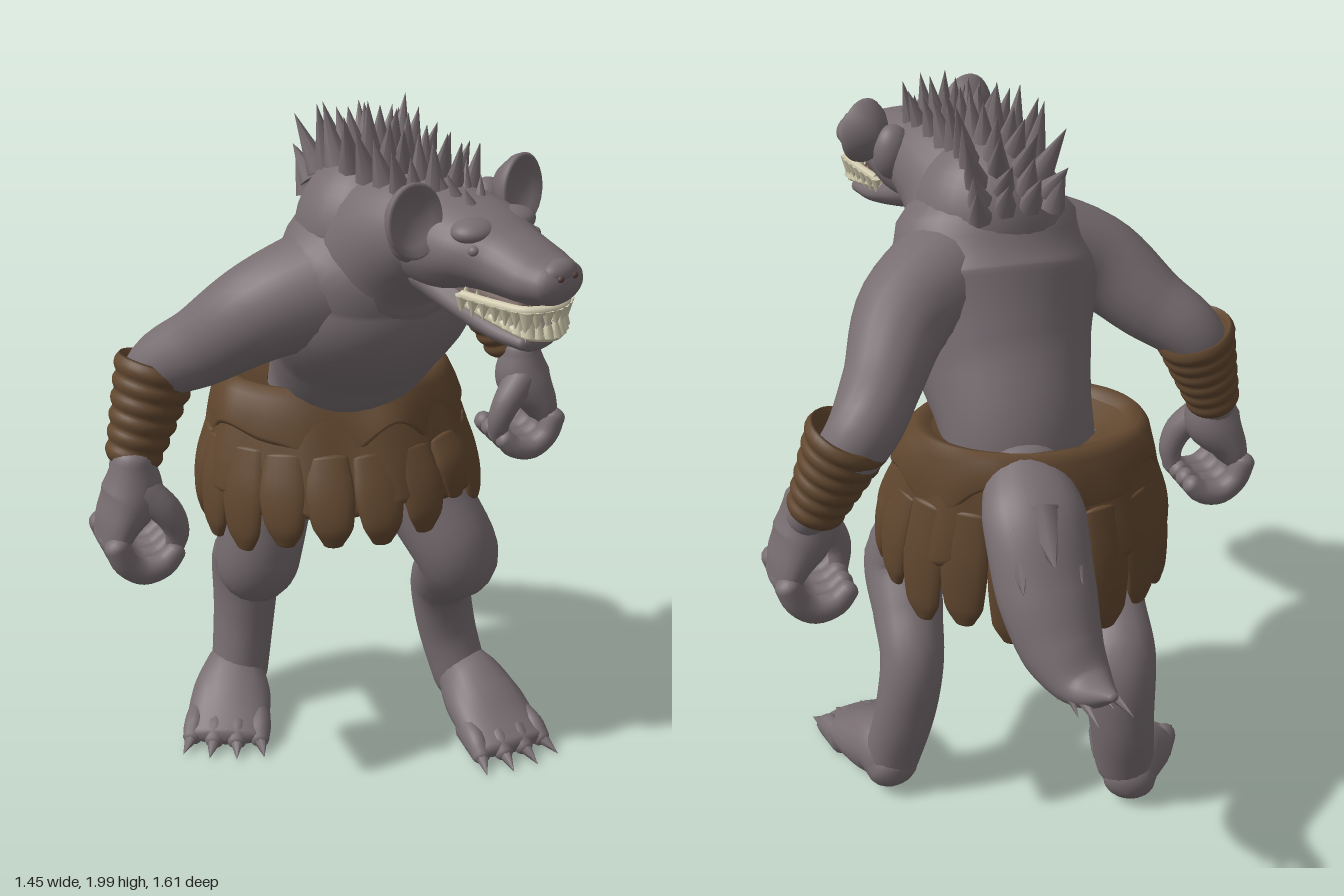
import * as THREE from 'three';
import { mergeVertices } from 'three/addons/utils/BufferGeometryUtils.js';

const V = (x, y, z) => new THREE.Vector3(x, y, z);
const material = (name, color) => Object.assign(new THREE.MeshStandardMaterial({ color }), { name });

export function createModel() {
  const hide = material('grey hide', 0x776d71);
  const leather = material('brown leather', 0x61472f);
  const ivory = material('ivory', 0xd0caae);
  const dark = material('dark flesh', 0x5a423c);
  const model = new THREE.Group();
  model.name = 'beastman';
  let seed = 7;
  const rnd = () => (seed = (seed * 16807) % 2147483647) / 2147483647;

  const add = (parent, name, geo, mat) => {
    const m = new THREE.Mesh(geo, mat);
    m.name = name;
    parent.add(m);
    return m;
  };
  const group = (parent, name) => {
    const g = new THREE.Group();
    g.name = name;
    parent.add(g);
    return g;
  };
  const smooth = (g) => {
    g.deleteAttribute('uv');
    g.deleteAttribute('normal');
    g = mergeVertices(g, 1e-4);
    g.computeVertexNormals();
    return g;
  };

  // Organic limb: rows of [x, y, z, radius along side, other radius], with rounded ends
  function limb(rows, side = V(1, 0, 0), radial = 20, steps = 6) {
    const path = new THREE.CatmullRomCurve3(rows.map((r) => V(r[0], r[1], r[2])));
    const size = new THREE.CatmullRomCurve3(rows.map((r) => V(r[3], r[4] ?? r[3], 0)));
    const n = (rows.length - 1) * steps, rings = [];
    const ring = (t, k, push) => {
      const T = path.getTangent(t), s = size.getPoint(t);
      const S = side.clone().addScaledVector(T, -side.dot(T)).normalize();
      const N = T.clone().cross(S);
      const c = path.getPoint(t).addScaledVector(T, push * Math.min(s.x, s.y) * 0.75);
      rings.push([c, S.multiplyScalar(s.x * k), N.multiplyScalar(s.y * k)]);
    };
    for (let i = 0; i < 5; i++) ring(0, Math.sin(i * 0.314) + 0.003, -Math.cos(i * 0.314));
    for (let i = 0; i <= n; i++) ring(i / n, 1, 0);
    for (let i = 4; i >= 0; i--) ring(1, Math.sin(i * 0.314) + 0.003, Math.cos(i * 0.314));
    const pos = [], idx = [];
    rings.forEach(([c, S, N], i) => {
      for (let j = 0; j < radial; j++) {
        const a = (j / radial) * Math.PI * 2;
        const p = c.clone().addScaledVector(S, Math.cos(a)).addScaledVector(N, Math.sin(a));
        pos.push(p.x, p.y, p.z);
        if (i === rings.length - 1) continue;
        const k = (j + 1) % radial, b = i * radial, d = b + radial;
        idx.push(b + j, b + k, d + k, b + j, d + k, d + j);
      }
    });
    const g = new THREE.BufferGeometry();
    g.setAttribute('position', new THREE.Float32BufferAttribute(pos, 3));
    g.setIndex(idx);
    g.computeVertexNormals();
    return g;
  }
  const ball = (parent, name, mat, p, s) => {
    const m = add(parent, name, new THREE.SphereGeometry(1, 28, 20), mat);
    m.position.set(...p);
    m.scale.set(...s);
  };
  const spike = (parent, name, mat, p, dir, len, r) => {
    const m = add(parent, name, new THREE.ConeGeometry(r, len, 7).translate(0, len / 2, 0), mat);
    m.position.copy(p);
    m.quaternion.setFromUnitVectors(V(0, 1, 0), dir.clone().normalize());
  };

  // Torso, hump and neck, leaning forward and slightly twisted
  const twist = V(1, 0, -0.25);
  add(model, 'torso', limb([
    [0, 0.95, -0.08, 0.22, 0.18], [0.02, 1.15, -0.1, 0.21, 0.18], [0.02, 1.34, 0.025, 0.25, 0.21],
    [0.01, 1.5, 0.13, 0.295, 0.245], [0.005, 1.6, 0.17, 0.26, 0.215]], twist, 32), hide);
  ball(model, 'hump', hide, [0.005, 1.66, 0.155], [0.2, 0.21, 0.19]);
  add(model, 'neck', limb([[0.01, 1.57, 0.17, 0.22, 0.22], [0.025, 1.68, 0.28, 0.18, 0.178],
    [0.06, 1.73, 0.39, 0.152, 0.138], [0.085, 1.73, 0.48, 0.13, 0.11]], twist, 28), hide);

  // Legs: the left one steps forward
  add(model, 'leftLeg', limb([
    [0.16, 1, -0.05, 0.15], [0.21, 0.82, 0.06, 0.127], [0.275, 0.66, 0.135, 0.118], [0.3, 0.55, 0.04, 0.1],
    [0.318, 0.45, -0.05, 0.09], [0.35, 0.28, -0.07, 0.088, 0.077], [0.385, 0.11, -0.035, 0.082]]), hide);
  add(model, 'rightLeg', limb([
    [-0.16, 1, -0.13, 0.15], [-0.22, 0.8, -0.08, 0.13], [-0.245, 0.63, -0.08, 0.116], [-0.22, 0.58, -0.2, 0.1],
    [-0.2, 0.51, -0.31, 0.103], [-0.205, 0.33, -0.33, 0.092, 0.104], [-0.235, 0.12, -0.305, 0.085, 0.09]]), hide);

  // Feet with four clawed toes
  function foot(name, x, z, yaw, length) {
    const f = group(model, name);
    f.position.set(x, 0, z);
    f.rotation.y = yaw;
    f.scale.z = length;
    add(f, 'sole', limb([[0, 0.085, -0.05, 0.075, 0.075], [0, 0.11, 0, 0.092, 0.1],
      [0, 0.09, 0.1, 0.118, 0.085], [0, 0.06, 0.2, 0.122, 0.055], [0, 0.042, 0.27, 0.115, 0.034]]), hide);
    for (const t of [-0.09, -0.03, 0.03, 0.09]) {
      const reach = 0.012 - Math.abs(t) * 0.25;
      add(f, 'toe', limb([[t, 0.055, 0.16, 0.032, 0.05], [t * 1.08, 0.05, 0.24 + reach, 0.033, 0.042],
        [t * 1.12, 0.032, 0.285 + reach, 0.028, 0.027]], V(1, 0, 0), 12, 4), hide);
      spike(f, 'claw', hide, V(t * 1.13, 0.034, 0.285 + reach), V(t * 0.3, -0.03, 0.1), 0.075, 0.022);
    }
  }
  foot('leftFoot', 0.395, -0.01, 0.06, 1);
  foot('rightFoot', -0.25, -0.31, -0.45, 0.87);

  // Arms
  const zSide = V(0, 0, 1);
  add(model, 'leftArm', limb([[0.1, 1.56, 0.11, 0.16], [0.29, 1.5, -0.015, 0.13], [0.405, 1.405, -0.18, 0.1],
    [0.485, 1.33, -0.275, 0.09], [0.57, 1.2, -0.25, 0.07], [0.62, 1.07, -0.2, 0.055]], zSide), hide);
  add(model, 'rightArm', limb([[-0.1, 1.55, 0.18, 0.16], [-0.29, 1.49, 0.15, 0.13], [-0.42, 1.38, 0.06, 0.105],
    [-0.52, 1.3, -0.01, 0.087], [-0.58, 1.18, -0.01, 0.07], [-0.62, 1.04, 0.02, 0.055]], zSide), hide);

  // Bracers: ridged wrappings along the forearm
  function bracer(name, top, bottom) {
    const axis = top.clone().sub(bottom), len = axis.length();
    const pts = [new THREE.Vector2(0.045, 0.01)];
    for (let i = 0; i <= 40; i++) {
      const t = i / 40;
      pts.push(new THREE.Vector2(0.064 + 0.04 * t + 0.009 * Math.abs(Math.sin(t * Math.PI * 6)), t * len));
    }
    pts.push(new THREE.Vector2(0.1, len + 0.006), new THREE.Vector2(0.09, len - 0.01), new THREE.Vector2(0.055, len - 0.05));
    const m = add(model, name, smooth(new THREE.LatheGeometry(pts, 32)), leather);
    m.position.copy(bottom);
    m.quaternion.setFromUnitVectors(V(0, 1, 0), axis.normalize());
  }
  bracer('leftBracer', V(0.515, 1.325, -0.265), V(0.612, 1.09, -0.225));
  bracer('rightBracer', V(-0.52, 1.315, -0.02), V(-0.612, 1.06, 0.01));

  // Hands: broad palm, fingers and thumb curled around an open ring
  function hand(name, s, x, y, z) {
    const h = group(model, name);
    h.position.set(x, y, z);
    add(h, 'palm', limb([[0, 0.05, 0, 0.055, 0.055], [s * 0.01, -0.04, 0, 0.085, 0.08],
      [s * 0.05, -0.11, 0, 0.095, 0.058], [s * 0.075, -0.165, 0, 0.095, 0.038]], zSide), hide);
    for (let i = 0; i < 4; i++) {
      const o = -0.078 + i * 0.052;
      add(h, 'finger', limb([[s * 0.078, -0.15, o, 0.034], [s * 0.055, -0.205, o * 1.02, 0.035],
        [s * 0.01, -0.237, o, 0.036], [-s * 0.045, -0.23, o * 0.95, 0.034], [-s * 0.08, -0.2, o * 0.9, 0.028]],
      zSide, 12, 4), hide);
    }
    add(h, 'thumb', limb([[-s * 0.01, -0.03, 0.03, 0.05], [-s * 0.065, -0.085, 0.055, 0.042],
      [-s * 0.09, -0.145, 0.055, 0.034], [-s * 0.085, -0.2, 0.045, 0.026]], zSide, 12, 4), hide);
  }
  hand('leftHand', 1, 0.615, 1.055, -0.17);
  hand('rightHand', -1, -0.615, 1.03, 0.04);

  // Loincloth: flared layers with folds, turned with the hips, then hanging strips
  const drop = (y) => Math.max(0, Math.min(1.2 - y, 0.34));
  const alongZ = (x, y, z) => z * (0.7 + drop(y) * 0.42) - 0.115 + drop(y) * 0.12 + x * 0.12;
  function clothLayer(name, profile, ragged) {
    const g = new THREE.LatheGeometry(profile.map((p) => new THREE.Vector2(...p)), 96);
    const p = g.attributes.position;
    for (let i = 0; i < p.count; i++) {
      const x = p.getX(i), y = p.getY(i), z = p.getZ(i), a = Math.atan2(x, z);
      const k = Math.max(0, 1.19 - y);
      const fold = 1 + k * (0.08 * Math.sin(9 * a) + 0.05 * Math.sin(14 * a + 1));
      p.setXYZ(i, x * fold, y + ragged * k * (Math.sin(5 * a + 0.6) + 0.5 * Math.sin(8 * a)), alongZ(x, y, z * fold));
    }
    add(model, name, smooth(g), leather);
  }
  clothLayer('loincloth', [[0.3, 1.1], [0.345, 0.93], [0.37, 0.89], [0.38, 0.91], [0.362, 1], [0.33, 1.12],
    [0.31, 1.17], [0.285, 1.19], [0.25, 1.18], [0.18, 1.15]], 0.05);
  clothLayer('waistFlap', [[0.32, 1.08], [0.345, 1.055], [0.35, 1.07], [0.338, 1.12], [0.32, 1.175],
    [0.295, 1.2], [0.26, 1.19], [0.225, 1.155]], 0.3);
  const ends = [0.8, 0.81, 0.87, 0.79, 0.76, 0.74, 0.68, 0.7, 0.66, 0.65, 0.67, 0.7, 0.7, 0.78, 0.75, 0.75, 0.79, 0.8];
  ends.forEach((end, i) => {
    const a = (i / ends.length) * Math.PI * 2, sn = Math.sin(a), cs = Math.cos(a);
    const row = (y, r, w, t) => [r * sn, y, alongZ(r * sn, y, r * cs), w, t];
    const mid = (1 + end) / 2;
    add(model, 'clothStrip', limb([row(1.03, 0.34, 0.055, 0.016), row(mid + 0.04, 0.368, 0.066, 0.02),
      row(end + 0.06, 0.374, 0.054, 0.02), row(end + 0.01, 0.37, 0.028, 0.014)],
    V(cs, 0, 0.12 * cs - 0.8 * sn), 14, 4), leather);
  });

  // Bushy tail with layered tufts along its back and sides
  const tailRows = [[0.06, 1.13, -0.25, 0.1, 0.08], [0.08, 1.05, -0.385, 0.135, 0.095], [0.085, 0.9, -0.485, 0.13, 0.1],
    [0.07, 0.775, -0.57, 0.108, 0.095], [0.045, 0.725, -0.67, 0.072, 0.055], [0.03, 0.775, -0.79, 0.015, 0.012]];
  add(model, 'tail', limb(tailRows, V(1, 0, 0), 24, 8), hide);
  const tailPath = new THREE.CatmullRomCurve3(tailRows.map((r) => V(r[0], r[1], r[2])));
  for (let i = 0; i < 6; i++) {
    const t = 0.2 + i * 0.1, w = 1 - i * 0.1, T = tailPath.getTangent(t);
    const back = V(0, -T.z, T.y).normalize();
    for (const o of [-1, 0, 1]) {
      const p = tailPath.getPoint(t + Math.abs(o) * 0.04).addScaledVector(back, (o ? 0.025 : 0.05) * w);
      p.x += o * 0.06 * w;
      const dir = T.clone().addScaledVector(back, o ? 0.15 : 0.28).add(V(o * 0.12, 0, 0));
      spike(model, 'tailTuft', hide, p, dir, 0.16, 0.058 * w);
    }
  }

  // Mane: rows of ragged spikes over the hump
  const crest = new THREE.CatmullRomCurve3([V(0.06, 1.85, 0.43), V(0.03, 1.87, 0.3), V(0, 1.885, 0.16),
    V(-0.01, 1.85, 0.06), V(-0.01, 1.77, -0.01)]);
  for (let i = 0; i < 10; i++) {
    const t = i / 9, T = crest.getTangent(t), up = V(0, -T.z, T.y).normalize(), w = 0.024 + 0.014 * t;
    for (const o of [-1.5, -0.5, 0.5, 1.5]) {
      const p = crest.getPoint(t).add(V(o * w * 1.7, -Math.abs(o) * 0.015 - 0.025, (rnd() - 0.5) * 0.02));
      const dir = up.clone().add(V(o * 0.25 + (rnd() - 0.5) * 0.3, 0.7, (rnd() - 0.5) * 0.7));
      spike(model, 'maneSpike', hide, p, dir, (0.115 + rnd() * 0.045) * (t > 0.85 ? 0.75 : 1), 0.034);
    }
  }

  // Head, turned to its left
  const head = group(model, 'head');
  head.position.set(0.07, 1.72, 0.43);
  head.rotation.y = 0.32;
  add(head, 'skull', limb([[0, 0, -0.06, 0.13, 0.125], [0, 0.01, 0.04, 0.145, 0.125], [0, 0.018, 0.13, 0.138, 0.1],
    [0, 0.006, 0.22, 0.103, 0.08], [0, -0.005, 0.31, 0.092, 0.064], [0, -0.006, 0.355, 0.077, 0.052]], V(1, 0, 0), 28), hide);
  add(head, 'lowerJaw', limb([[0, -0.07, 0.0, 0.11, 0.06], [0, -0.108, 0.11, 0.1, 0.05],
    [0, -0.145, 0.23, 0.08, 0.038], [0, -0.153, 0.31, 0.066, 0.03]]), hide);
  add(head, 'mouth', limb([[0, -0.08, 0.06, 0.09, 0.04], [0, -0.095, 0.2, 0.058, 0.045],
    [0, -0.1, 0.27, 0.045, 0.04]]), dark);
  ball(head, 'nose', hide, [0, 0.02, 0.362], [0.05, 0.03, 0.03]);
  for (const s of [-1, 1]) {
    ball(head, 'nostril', dark, [s * 0.022, 0.016, 0.388], [0.009, 0.008, 0.007]);
    ball(head, 'browRidge', hide, [s * 0.06, 0.075, 0.155], [0.06, 0.03, 0.05]);
    ball(head, 'eye', hide, [s * 0.098, 0.045, 0.192], [0.014, 0.013, 0.015]);
    // Round cupped ear
    const cup = [[0, -0.05], [0.05, -0.042], [0.078, -0.005], [0.084, 0.015], [0.077, 0.021], [0.06, 0.005], [0.03, -0.006], [0, -0.01]];
    const ear = add(head, 'ear', smooth(new THREE.LatheGeometry(cup.map((p) => new THREE.Vector2(...p)), 28).rotateX(Math.PI / 2)), hide);
    ear.position.set(s * 0.17, 0.1, 0.065);
    ear.rotation.set(-0.1, s * 0.12, 0);
    ear.scale.set(0.9, 1.06, 1);
    ball(head, 'earRoot', hide, [s * 0.125, 0.05, 0.01], [0.055, 0.075, 0.05]);
  }

  // Teeth: an arc of broad cones on each jaw, with long fangs at the front corners
  for (const [y, rise, dir, w] of [[-0.066, -0.012, -1, 0.079], [-0.127, 0.04, 1, 0.067]]) {
    const arc = new THREE.CatmullRomCurve3([[-1.12, 0.15], [-1.03, 0.25], [-0.8, 0.33], [0, 0.36], [0.8, 0.33],
      [1.03, 0.25], [1.12, 0.15]].map(([x, z]) => V(x * w, y + rise * (0.33 - z) * 4, z)));
    add(head, 'gumLine', new THREE.TubeGeometry(arc, 40, 0.012, 8), ivory);
    for (let i = 0; i <= 18; i++) {
      const fang = i === 6 || i === 12;
      spike(head, fang ? 'fang' : 'tooth', ivory, arc.getPoint(i / 18), V(0, dir, 0), fang ? 0.075 : 0.05, fang ? 0.02 : 0.017);
    }
  }

  // Forelock spikes on the crown
  for (let i = 0; i < 5; i++) {
    spike(head, 'forelock', hide, V((i % 2 ? 1 : -1) * 0.018, 0.1 - i * 0.003, 0.02 + i * 0.024),
      V((i % 2 ? 0.3 : -0.3), 1, -0.3), 0.11 - i * 0.01, 0.022);
  }
  return model;
}
